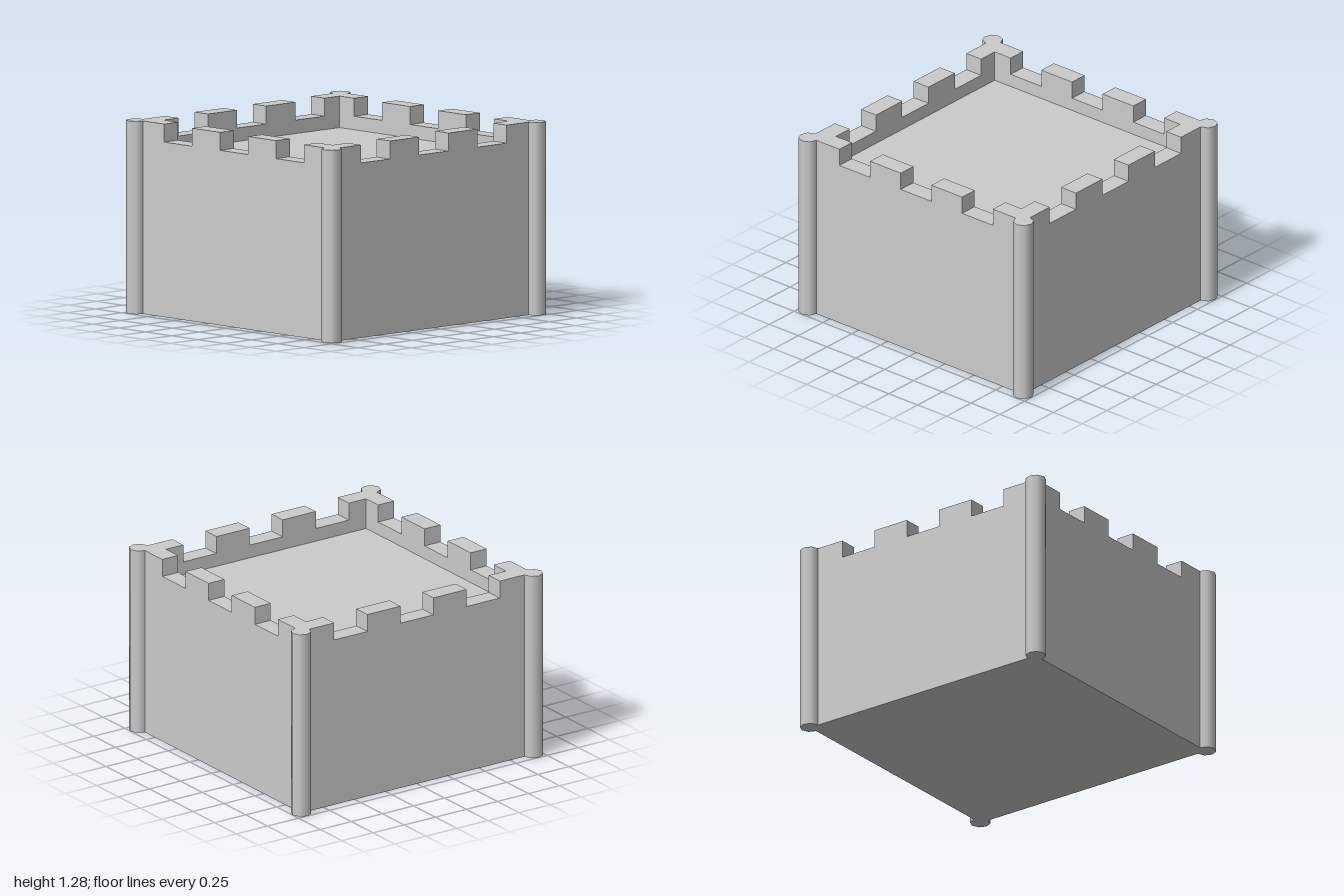
import * as THREE from 'three';

const OUTER = 0.932;     // half width of the walls
const INNER = 0.804;     // half width of the courtyard roof
const TOP = 1.285;       // top of merlons and columns
const NOTCH = 1.165;     // bottom of the battlement gaps
const ROOF = 1.075;      // sunken roof level
const STEP = OUTER * 2 / 7;

const stone = new THREE.MeshStandardMaterial({ color: 0xcccccc });

// Wall slab with four merlons and three gaps, its outer face towards +z
function wallGeometry(half) {
  const shape = new THREE.Shape();
  shape.moveTo(-half, 0);
  shape.lineTo(half, 0);
  shape.lineTo(half, TOP);
  for (const gap of [2, 0, -2]) {
    const right = (gap + 0.5) * STEP, left = (gap - 0.5) * STEP;
    shape.lineTo(right, TOP);
    shape.lineTo(right, NOTCH);
    shape.lineTo(left, NOTCH);
    shape.lineTo(left, TOP);
  }
  shape.lineTo(-half, TOP);
  shape.closePath();
  const geometry = new THREE.ExtrudeGeometry(shape, { depth: OUTER - INNER, bevelEnabled: false });
  return geometry.translate(0, 0, INNER);
}

export function createModel() {
  const group = new THREE.Group();
  group.name = 'crenellatedTower';

  // Front and back walls run full width; side walls fit between them
  const longWall = wallGeometry(OUTER);
  const shortWall = wallGeometry(INNER);
  ['frontWall', 'leftWall', 'backWall', 'rightWall'].forEach((name, i) => {
    const wall = new THREE.Mesh(i % 2 ? shortWall : longWall, stone);
    wall.name = name;
    wall.rotation.y = i * Math.PI / 2;
    group.add(wall);
  });

  // Solid core whose top is the sunken roof
  const core = new THREE.Mesh(new THREE.BoxGeometry(INNER * 2, ROOF, INNER * 2), stone);
  core.name = 'roofAndCore';
  core.position.y = ROOF / 2;
  group.add(core);

  // Smooth eight-sided columns on the corners
  const columnGeometry = new THREE.CylinderGeometry(0.068, 0.068, TOP, 8);
  for (const x of [-1, 1]) {
    for (const z of [-1, 1]) {
      const column = new THREE.Mesh(columnGeometry, stone);
      column.name = (z > 0 ? 'front' : 'back') + (x > 0 ? 'Left' : 'Right') + 'Column';
      column.position.set(x * OUTER, TOP / 2, z * OUTER);
      group.add(column);
    }
  }
  return group;
}
